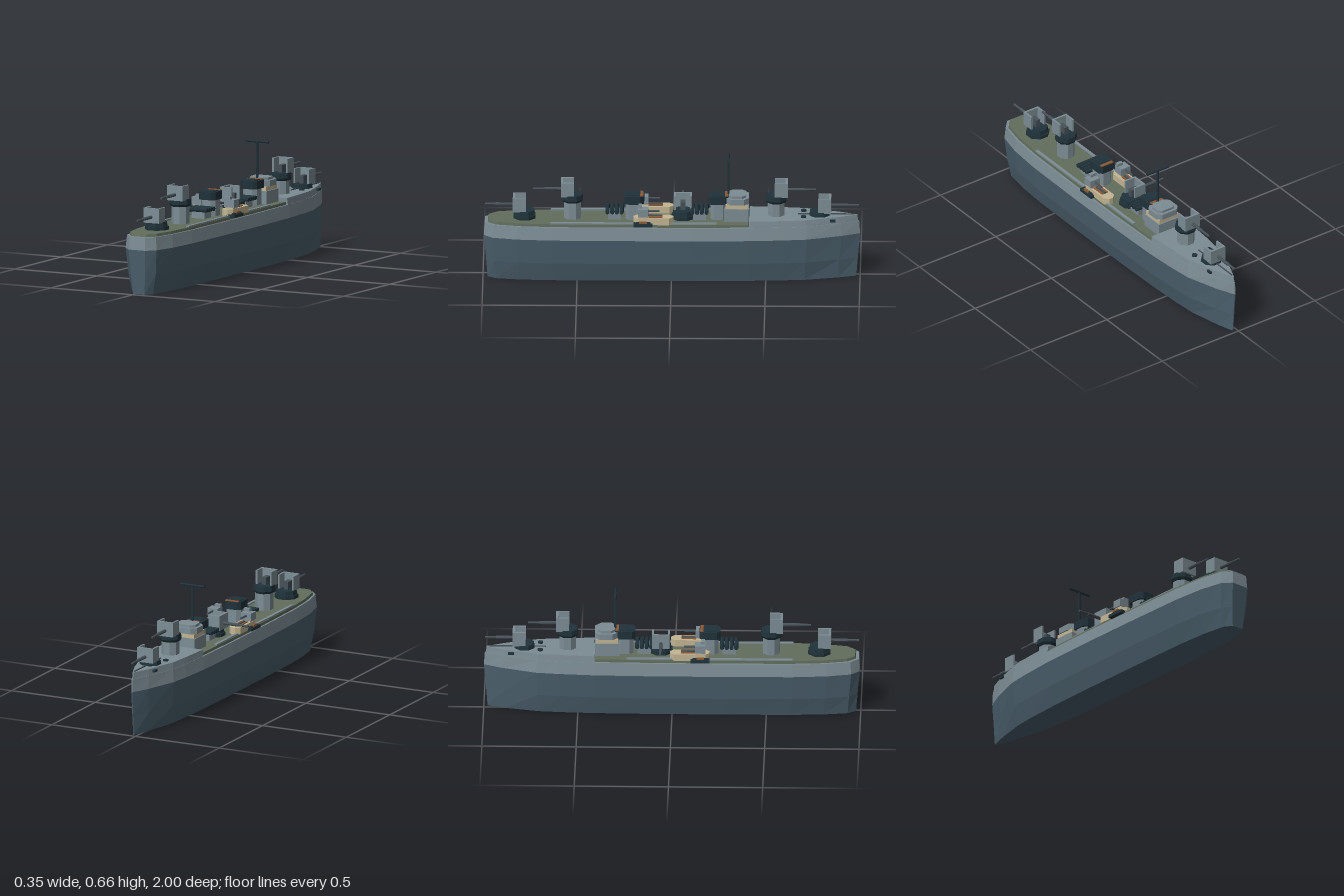
import * as THREE from 'three';

const mat = (name, color) => {
  const m = new THREE.MeshStandardMaterial({ color, flatShading: true });
  m.name = name;
  return m;
};

// Half-breadth of the hull along its length: [z, half width], bow to stern
const STATIONS = [[-1, 0.003], [-0.9, 0.048], [-0.72, 0.106], [-0.6, 0.12], [-0.42, 0.133], [-0.1, 0.14],
  [0.3, 0.14], [0.64, 0.136], [0.82, 0.122], [0.95, 0.094], [0.995, 0.05]];

// Closed plan outline at height y, scaled in width and length
function outline(y, sx, sz, z0 = -1, z1 = 1) {
  const s = STATIONS.filter(([z]) => z >= z0 && z <= z1);
  const side = s.map(([z, w]) => [w * sx, y, z * sz]);
  return [...side, ...side.slice().reverse().map(([x, h, z]) => [-x, h, z])];
}

// Stack of outlines joined into a closed solid
function loft(rings) {
  const pos = [];
  const tri = (...p) => p.forEach((v) => pos.push(...v));
  const n = rings[0].length;
  const centre = (r) => [0, r[0][1], (r[0][2] + r[n / 2][2]) / 2];
  const bottom = rings[0], top = rings[rings.length - 1];
  for (let i = 0; i < n; i++) {
    const j = (i + 1) % n;
    for (let k = 0; k + 1 < rings.length; k++) {
      const a = rings[k], b = rings[k + 1];
      tri(a[i], b[i], a[j]);
      tri(a[j], b[i], b[j]);
    }
    tri(centre(bottom), bottom[i], bottom[j]);
    tri(centre(top), top[j], top[i]);
  }
  const g = new THREE.BufferGeometry();
  g.setAttribute('position', new THREE.Float32BufferAttribute(pos, 3));
  g.computeVertexNormals();
  return g;
}

export function createModel() {
  const grey = mat('ship grey', 0x7d8d95);
  const slate = mat('lower hull slate', 0x4b606d);
  const green = mat('deck green', 0x616d5c);
  const dark = mat('dark blue grey', 0x20323a);
  const steel = mat('barrel steel', 0x465158);
  const cream = mat('cream', 0xc4b693);
  const rust = mat('rust brown', 0x8c5a36);

  const model = new THREE.Group();
  model.name = 'warship';
  const ship = new THREE.Group();
  ship.name = 'ship';
  ship.position.x = 0.022;
  model.add(ship);

  const add = (name, geo, m, x = 0, y = 0, z = 0, parent = ship) => {
    const mesh = new THREE.Mesh(geo, m);
    mesh.name = name;
    mesh.position.set(x, y, z);
    parent.add(mesh);
    return mesh;
  };
  // Box given by its centre in x and z and its bottom and top in y
  const box = (name, m, w, y0, y1, d, x, z, parent) =>
    add(name, new THREE.BoxGeometry(w, y1 - y0, d), m, x, (y0 + y1) / 2, z, parent);
  // Upright prism with a flat side to the front
  const drum = (name, m, r0, r1, y0, y1, x, z, parent, sides = 8) => {
    const g = new THREE.CylinderGeometry(r1, r0, y1 - y0, sides).rotateY(Math.PI / sides);
    return add(name, g, m, x, (y0 + y1) / 2, z, parent);
  };
  const rod = (name, m, r, len, axis, x, y, z, parent) => {
    const g = new THREE.CylinderGeometry(r, r, len, 8);
    if (axis === 'x') g.rotateZ(Math.PI / 2);
    if (axis === 'z') g.rotateX(Math.PI / 2);
    return add(name, g, m, x, y, z, parent);
  };
  // Block with cut corners in plan
  const chamfered = (name, m, w, y0, y1, d, c, x, z) => {
    const a = w / 2, b = d / 2;
    const s = new THREE.Shape([[a, c - b], [a, b - c], [a - c, b], [c - a, b], [-a, b - c], [-a, c - b],
      [c - a, -b], [a - c, -b]].map(([px, pz]) => new THREE.Vector2(px, pz)));
    const g = new THREE.ExtrudeGeometry(s, { depth: y1 - y0, bevelEnabled: false }).rotateX(-Math.PI / 2);
    return add(name, g, m, x, y0, z);
  };

  // Hull and decks
  add('lowerHull', loft([outline(0, 0.67, 0.98), outline(0.105, 0.88, 0.988), outline(0.24, 1, 1)]), slate);
  add('upperHull', loft([outline(0.24, 1, 1), outline(0.31, 0.94, 0.995)]), grey);
  add('aftDeck', loft([outline(0.308, 0.87, 0.98, -0.42), outline(0.325, 0.86, 0.975, -0.42)]), green);
  add('foredeck', loft([outline(0.308, 0.93, 0.99, -1, -0.42), outline(0.345, 0.9, 0.985, -1, -0.42)]), grey);
  box('foredeckRidge', steel, 0.006, 0.344, 0.35, 0.3, 0, -0.82);
  for (const s of [-1, 1]) {
    box('deckEdgeStrip', grey, 0.016, 0.32, 0.332, 0.88, s * 0.108, 0.2);
    drum('capstan', dark, 0.015, 0.015, 0.34, 0.353, s * 0.048, -0.7);
    box('anchor', dark, 0.012, 0.325, 0.337, 0.03, s * 0.064, -0.855);
  }

  // Guns with shields open at the top and rear; floor is the bottom of the shield
  function gun(name, z, floor, turn, raised) {
    const g = new THREE.Group();
    g.name = name;
    g.position.set(0, floor, z);
    g.rotation.y = turn;
    ship.add(g);
    if (raised) {
      drum('pedestal', grey, 0.048, 0.048, 0.325 - floor, -0.03, 0, 0, g);
      drum('gunRing', dark, 0.052, 0.06, -0.035, -0.022, 0, 0, g);
      drum('gunBase', dark, 0.06, 0.057, -0.022, 0.005, 0, 0, g);
    } else {
      drum('gunRing', dark, 0.064, 0.064, 0.322 - floor, -0.022, 0, 0, g);
      drum('gunBase', dark, 0.058, 0.054, -0.022, 0.003, 0, 0, g);
    }
    box('shieldFront', grey, 0.094, 0, 0.08, 0.012, 0, 0.056, g);
    for (const s of [-1, 1]) box('shieldSide', grey, 0.01, 0, 0.08, 0.065, s * 0.042, 0.025, g);
    box('breech', steel, 0.026, 0.002, 0.045, 0.05, 0, 0.02, g);
    rod('barrelSleeve', steel, 0.009, 0.1, 'z', 0, 0.032, 0.1, g);
    rod('barrel', steel, 0.0065, 0.12, 'z', 0, 0.032, 0.15, g);
  }
  gun('aftLowerGun', 0.78, 0.365, 0, false);
  gun('aftUpperGun', 0.525, 0.452, 0, true);
  gun('midGun', -0.06, 0.365, -Math.PI / 2, false);
  gun('foreUpperGun', -0.555, 0.452, Math.PI, true);
  gun('foreLowerGun', -0.785, 0.365, Math.PI, false);

  // Funnels
  for (const z of [0.2, -0.25]) {
    chamfered('funnel', grey, 0.086, 0.32, 0.415, 0.088, 0.02, 0, z);
    chamfered('funnelCap', dark, 0.1, 0.413, 0.456, 0.11, 0.018, 0, z);
    box('funnelCapPlate', rust, 0.076, 0.455, 0.46, 0.018, 0, z - 0.043);
    box('funnelMouth', dark, 0.07, 0.455, 0.459, 0.06, 0, z + 0.008);
  }

  // Torpedo tube banks
  for (const z of [0.302, -0.148]) {
    box('tubeBankBase', grey, 0.08, 0.322, 0.36, 0.07, 0, z);
    for (let i = 0; i < 4; i++) rod('torpedoTube', dark, 0.0115, 0.118, 'x', 0, 0.372, z + (i - 1.5) * 0.025);
  }

  // Bridge
  box('bridgeBase', grey, 0.14, 0.32, 0.395, 0.13, 0, -0.345);
  box('bridgeWindowBand', cream, 0.128, 0.395, 0.418, 0.118, 0, -0.345);
  chamfered('bridgeTop', grey, 0.142, 0.418, 0.45, 0.12, 0.025, 0, -0.35);
  chamfered('bridgeRoof', grey, 0.11, 0.449, 0.463, 0.09, 0.02, 0, -0.35);

  // Mast
  rod('mast', dark, 0.0065, 0.235, 'y', 0, 0.54, -0.302);
  rod('mastYard', dark, 0.0065, 0.142, 'x', 0, 0.656, -0.302);

  // Side platforms with light guns
  for (const s of [-1, 1]) {
    chamfered('sidePlatform', cream, 0.066, 0.325, 0.362, 0.21, 0.022, s * 0.091, 0.095);
    box('sponson', dark, 0.06, 0.32, 0.336, 0.1, s * 0.115, 0.15);
    box('sponsonLocker', rust, 0.012, 0.34, 0.35, 0.04, s * 0.138, 0.15);
    box('sponsonRail', dark, 0.014, 0.336, 0.342, 0.08, s * 0.13, 0.15);
    for (const o of [-0.014, 0.014]) box('platformPlank', rust, 0.011, 0.361, 0.367, 0.075, s * 0.091 + o, 0.085);
    box('platformHatch', steel, 0.012, 0.361, 0.37, 0.075, s * 0.091, 0.085);
    box('lightGunMount', cream, 0.046, 0.36, 0.372, 0.05, s * 0.1, 0.15);
    box('lightGunHouse', grey, 0.06, 0.37, 0.412, 0.055, s * 0.1, 0.15);
    box('lightGunSight', grey, 0.035, 0.412, 0.428, 0.02, s * 0.087, 0.165);
    rod('lightGunBarrel', steel, 0.0055, 0.075, 'z', s * 0.1, 0.397, 0.1);
  }
  return model;
}
